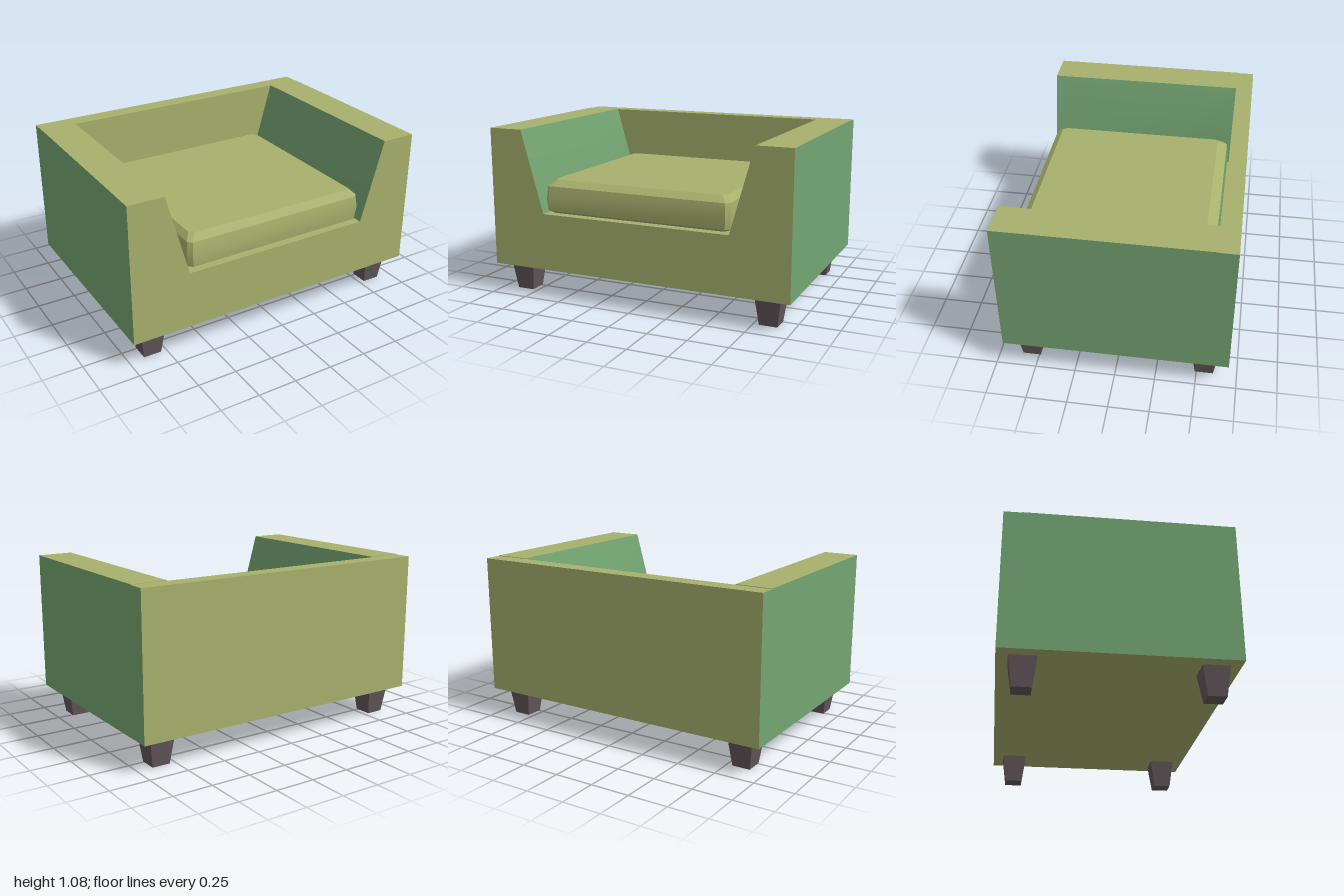
import * as THREE from 'three';
import { toCreasedNormals } from 'three/addons/utils/BufferGeometryUtils.js';

const olive = new THREE.MeshStandardMaterial({ name: 'olive fabric', color: 0xa8b16d });
const green = new THREE.MeshStandardMaterial({ name: 'green fabric', color: 0x74a572 });
const wood = new THREE.MeshStandardMaterial({ name: 'dark wood', color: 0x62575b });

// Olive mesh whose faces chosen by their normal are green
function twoTone(name, source, isGreen) {
  const geo = toCreasedNormals(source, 0.35);
  const normal = geo.attributes.normal;
  const n = new THREE.Vector3();
  geo.clearGroups();
  for (let i = 0; i < normal.count; i += 3) {
    n.fromBufferAttribute(normal, i);
    geo.addGroup(i, 3, isGreen(n) ? 1 : 0);
  }
  const mesh = new THREE.Mesh(geo, [olive, green]);
  mesh.name = name;
  return mesh;
}

const facesSideways = (n) => Math.abs(n.x) > 0.7;

// Box given by its limits
function box(x0, x1, y0, y1, z0, z1) {
  return new THREE.BoxGeometry(x1 - x0, y1 - y0, z1 - z0)
    .translate((x0 + x1) / 2, (y0 + y1) / 2, (z0 + z1) / 2);
}

// Armrest: straight outside, inside sloping down to the seat
function armGeometry(side) {
  const points = [[0.625, 0.182], [1, 0.182], [1, 1.075], [0.773, 1.075], [0.625, 0.548]];
  const shape = new THREE.Shape(points.map(([x, y]) => new THREE.Vector2(x * side, y)));
  return new THREE.ExtrudeGeometry(shape, { depth: 1.28, bevelEnabled: false }).translate(0, 0, -0.585);
}

// Cushion: chamfered rectangles stacked upwards
function cushionGeometry() {
  // height, half width, back, front
  const levels = [
    [0.55, 0.592, -0.53, 0.64],
    [0.568, 0.615, -0.56, 0.672],
    [0.645, 0.621, -0.567, 0.68],
    [0.725, 0.614, -0.555, 0.666],
    [0.762, 0.58, -0.49, 0.622],
  ];
  const c = 0.025;
  const positions = [];
  const index = [];
  for (const [y, w, b, f] of levels) {
    const ring = [
      [w - c, f], [w, f - c], [w, b + c], [w - c, b],
      [-w + c, b], [-w, b + c], [-w, f - c], [-w + c, f],
    ];
    for (const [x, z] of ring) positions.push(x, y, z);
  }
  for (let l = 0; l < levels.length - 1; l++) {
    for (let i = 0; i < 8; i++) {
      const a = l * 8 + i;
      const b = l * 8 + (i + 1) % 8;
      index.push(a, b, b + 8, a, b + 8, a + 8);
    }
  }
  // Bottom and top faces
  const top = (levels.length - 1) * 8;
  for (let i = 1; i < 7; i++) {
    index.push(0, i + 1, i, top, top + i, top + i + 1);
  }
  const geo = new THREE.BufferGeometry();
  geo.setAttribute('position', new THREE.Float32BufferAttribute(positions, 3));
  geo.setIndex(index);
  return geo;
}

// Square leg, narrower at the floor
function legGeometry() {
  const geo = box(-0.081, 0.081, 0, 0.182, -0.081, 0.081);
  const p = geo.attributes.position;
  for (let i = 0; i < p.count; i++) {
    if (p.getY(i) < 0.01) {
      p.setX(i, p.getX(i) * 0.7);
      p.setZ(i, p.getZ(i) * 0.7);
    }
  }
  geo.computeVertexNormals();
  return geo;
}

export function createModel() {
  const sofa = new THREE.Group();
  sofa.name = 'armchair';

  sofa.add(twoTone('backrest', box(-1, 1, 0.182, 1.072, -0.697, -0.585), facesSideways));
  sofa.add(twoTone('seatBase', box(-0.625, 0.625, 0.182, 0.548, -0.585, 0.695), facesSideways));
  sofa.add(twoTone('seatCushion', cushionGeometry(), (n) => n.z < -0.9));

  const leg = legGeometry();
  for (const side of [1, -1]) {
    const label = side > 0 ? 'left' : 'right';
    sofa.add(twoTone(label + 'Arm', armGeometry(side), facesSideways));
    for (const end of [1, -1]) {
      const mesh = new THREE.Mesh(leg, wood);
      mesh.name = label + (end > 0 ? 'FrontLeg' : 'BackLeg');
      mesh.position.set(side * 0.843, 0, end * 0.547);
      sofa.add(mesh);
    }
  }
  return sofa;
}
